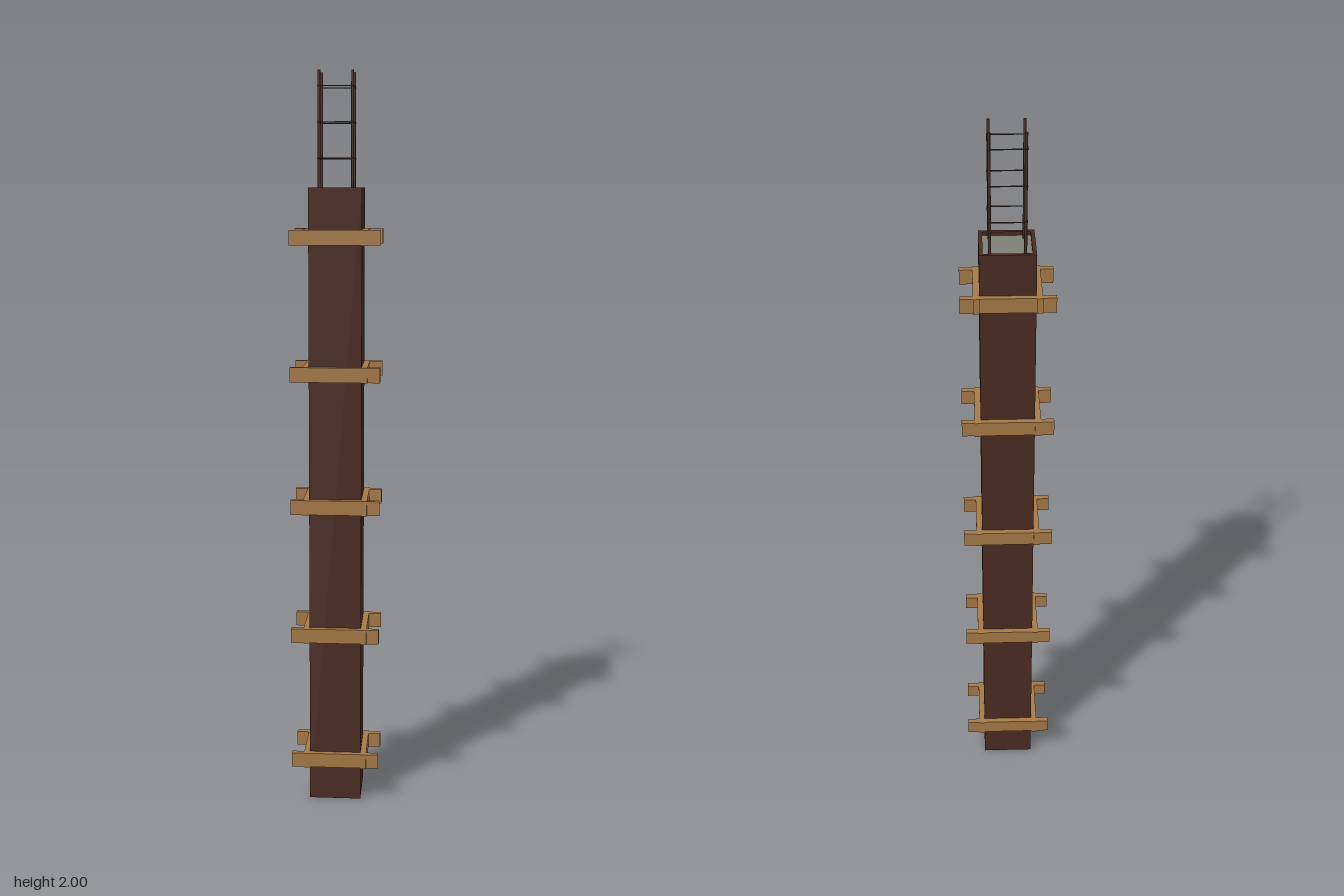
import * as THREE from 'three';

const material = (name, color) => {
  const m = new THREE.MeshStandardMaterial({ color });
  m.name = name;
  return m;
};

export function createModel() {
  const column = new THREE.Group();
  column.name = 'columnFormwork';
  const plywood = material('dark plywood', 0x4a2c23);
  const timber = material('timber', 0xa67a47);
  const concrete = material('concrete', 0x80807a);
  const steel = material('rusty steel', 0x45302a);

  const add = (name, geometry, mat, x, y, z, parent = column) => {
    const mesh = new THREE.Mesh(geometry, mat);
    mesh.name = name;
    mesh.position.set(x, y, z);
    parent.add(mesh);
    return mesh;
  };
  const box = (name, w, h, d, mat, x, y, z, parent) =>
    add(name, new THREE.BoxGeometry(w, h, d), mat, x, y, z, parent);

  // Concrete core, just below the rim of the form
  box('concreteCore', 0.122, 1.69, 0.122, concrete, 0, 0.845, 0);

  // Four plywood form panels
  for (const s of [-1, 1]) {
    box('formPanel', 0.142, 1.7, 0.01, plywood, 0, 0.85, s * 0.066);
    box('sidePanel', 0.01, 1.7, 0.122, plywood, s * 0.066, 0.85, 0);
  }

  // Timber clamps around the form
  for (let i = 0; i < 5; i++) {
    const clamp = new THREE.Group();
    clamp.name = 'clamp';
    clamp.position.y = 0.118 + i * 0.363;
    column.add(clamp);
    for (const s of [-1, 1]) {
      box('longBatten', 0.242, 0.04, 0.016, timber, 0, 0, s * 0.079, clamp);
      box('shortBatten', 0.016, 0.041, 0.18, timber, s * 0.079, 0, 0, clamp);
    }
  }

  // Vertical reinforcement bars
  for (const x of [-0.044, 0.044]) {
    for (const z of [-0.044, 0.044]) {
      add('verticalBar', new THREE.CylinderGeometry(0.0038, 0.0038, 0.33, 8), steel, x, 1.835, z);
    }
  }

  // Square stirrups tied around the bars
  const r = 0.0016, e = 0.0475;
  for (const y of [1.775, 1.868, 1.96]) {
    const stirrup = new THREE.Group();
    stirrup.name = 'stirrup';
    stirrup.position.y = y;
    column.add(stirrup);
    for (const s of [-1, 1]) {
      const rod = () => new THREE.CylinderGeometry(r, r, 2 * (e + r), 6);
      add('stirrupRod', rod(), steel, 0, 0, s * e, stirrup).rotation.z = Math.PI / 2;
      add('stirrupRod', rod(), steel, s * e, 0, 0, stirrup).rotation.x = Math.PI / 2;
    }
  }
  return column;
}
